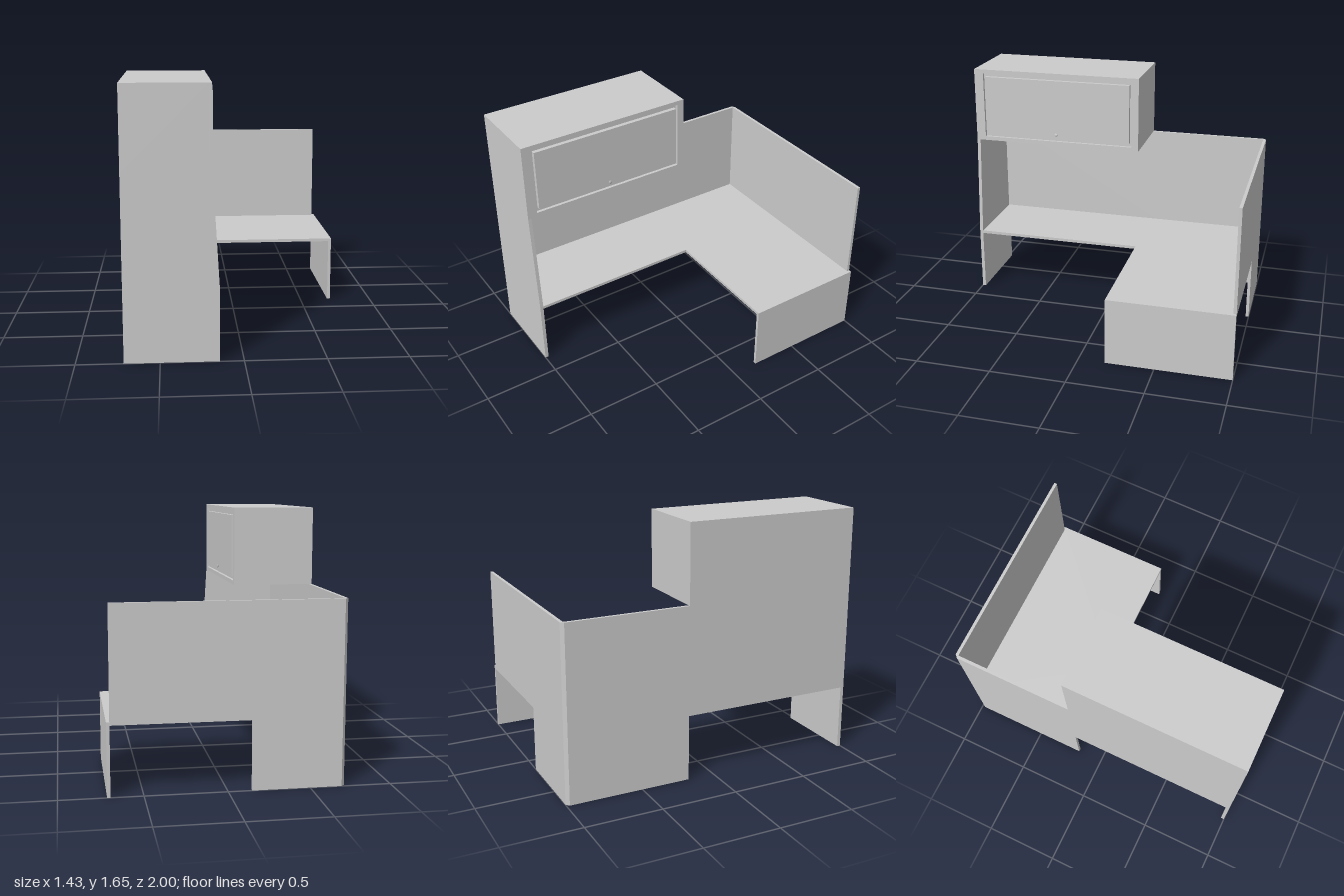
import * as THREE from 'three';

const material = new THREE.MeshStandardMaterial({ color: 0xcccccc, flatShading: true });
const smooth = new THREE.MeshStandardMaterial({ color: 0xcccccc });

// Overall dimensions
const X = 0.715, T = 0.02, DESK = 0.45, WALL = 1.14, TOP = 1.65;
const EDGE_X = -0.145, EDGE_Z = -0.178, CAB_X = -0.185, END_Z = 0.977;

function shapeOf(points) {
  return new THREE.Shape(points.map(([a, b]) => new THREE.Vector2(a, b)));
}

function extrude(shape, depth) {
  return new THREE.ExtrudeGeometry(shape, { depth, bevelEnabled: false });
}

// Panel facing z, outline in (x, y)
function panelXY(points, z, depth) {
  return extrude(shapeOf(points), depth).translate(0, 0, z);
}

// Panel facing x, outline in (z, y), thickness running towards -x
function panelZY(shape, x, depth) {
  return extrude(shape, depth).rotateY(-Math.PI / 2).translate(x, 0, 0);
}

// Slab with a plan outline in (x, z)
function slab(points, y, height) {
  const shape = shapeOf(points.map(([x, z]) => [x, -z]));
  return extrude(shape, height).rotateX(-Math.PI / 2).translate(0, y, 0);
}

function rect(a0, b0, a1, b1) {
  return [[a0, b0], [a1, b0], [a1, b1], [a0, b1]];
}

function box(x0, x1, y0, y1, z0, z1) {
  return new THREE.BoxGeometry(x1 - x0, y1 - y0, z1 - z0)
    .translate((x0 + x1) / 2, (y0 + y1) / 2, (z0 + z1) / 2);
}

export function createModel() {
  const group = new THREE.Group();
  const add = (name, geometry, parent = group, mat = material) => {
    const mesh = new THREE.Mesh(geometry, mat);
    mesh.name = name;
    parent.add(mesh);
    return mesh;
  };
  const inX = -X + T, inZ = -1 + T, under = DESK - T;

  // L-shaped worktop
  add('worktop', slab([
    [inX, inZ], [X - T, inZ], [X - T, EDGE_Z], [EDGE_X, EDGE_Z], [EDGE_X, END_Z], [inX, END_Z],
  ], under, T));

  // Partition walls, reaching the floor only near the corner
  add('backWall', panelXY([
    [inX, 0], [EDGE_X, 0], [EDGE_X, under], [X - T, under], [X - T, WALL], [inX, WALL],
  ], -1, T));
  add('sideWall', panelZY(shapeOf([
    [inZ, 0], [EDGE_Z, 0], [EDGE_Z, under], [END_Z, under], [END_Z, WALL], [inZ, WALL],
  ]), inX, T));

  // Chamfered post joining the walls
  add('cornerPost', slab([[-X, inZ], [inX, inZ], [inX, -1]], 0, WALL));

  // Floor-standing end panels
  add('rightEndPanel', box(X - T, X, 0, DESK, -1, EDGE_Z));
  add('frontEndPanel', panelXY([
    [-X, 0], [EDGE_X, 0], [EDGE_X, DESK], [CAB_X, WALL], [-X, WALL],
  ], END_Z, 1 - END_Z));

  // Overhead cabinet with a recessed opening
  const cabinet = new THREE.Group();
  cabinet.name = 'overheadCabinet';
  group.add(cabinet);
  add('cabinetBody', box(-X, CAB_X - T, WALL, TOP, EDGE_Z, 1), cabinet);
  const frame = shapeOf(rect(EDGE_Z, WALL, 1, TOP));
  frame.holes.push(shapeOf(rect(-0.13, 1.167, 0.935, 1.622)));
  add('cabinetFrame', panelZY(frame, CAB_X, T), cabinet);

  // Door and round knob
  add('cabinetDoor', box(CAB_X - T, -0.178, 1.192, 1.6, -0.115, 0.92), cabinet);
  const knob = new THREE.LatheGeometry([
    [0, 0], [0.007, 0], [0.007, 0.003], [0.012, 0.004], [0.012, 0.008], [0, 0.009],
  ].map(([r, y]) => new THREE.Vector2(r, y)), 20);
  knob.rotateZ(-Math.PI / 2).translate(-0.178, 1.218, 0.405);
  add('doorKnob', knob, cabinet, smooth);

  return group;
}
